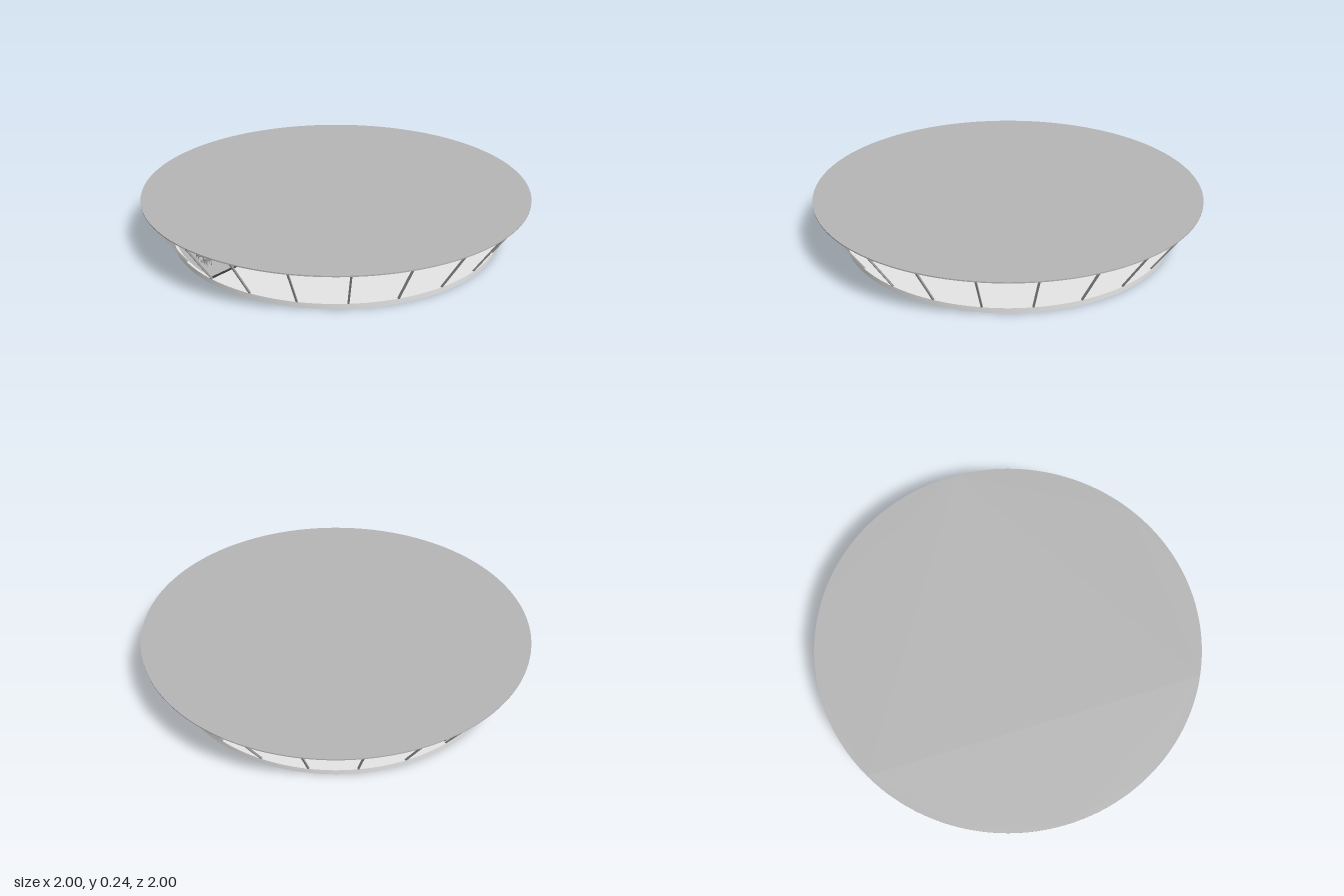
import * as THREE from 'three';
import { toCreasedNormals } from 'three/addons/utils/BufferGeometryUtils.js';

const rad = THREE.MathUtils.degToRad;
const mat = (name, color) => {
  const m = new THREE.MeshStandardMaterial({ color });
  m.name = name;
  return m;
};

export function createModel() {
  const model = new THREE.Group();
  const roofGrey = mat('roof grey', 0xb5b5b5);
  const floorGrey = mat('floor light grey', 0xe4e4e4);
  const frameGrey = mat('frame grey', 0xa8a8a8);
  const canopyGrey = mat('canopy grey', 0x7c7c7c);
  const dark = mat('bar charcoal', 0x383838);
  const wallGrey = mat('core wall grey', 0xb8b8b8);
  const furnitureGrey = mat('furniture grey', 0x959595);

  const add = (parent, name, geometry, material, x = 0, y = 0, z = 0) => {
    const mesh = new THREE.Mesh(geometry, material);
    mesh.name = name;
    mesh.position.set(x, y, z);
    parent.add(mesh);
    return mesh;
  };

  // Plan outline (x, z) extruded between two heights
  const slab = (shape, y0, y1) => {
    const g = new THREE.ExtrudeGeometry(shape, { depth: y1 - y0, bevelEnabled: false, curveSegments: 96 });
    g.rotateX(Math.PI / 2).translate(0, y1, 0);
    return toCreasedNormals(g, rad(30));
  };

  // Ring or ring sector; angles in degrees from +x towards +z
  const ringShape = (r0, r1, a0 = 0, a1 = 360) => {
    const s = new THREE.Shape();
    s.absarc(0, 0, r1, rad(a0), rad(a1), false);
    if (a1 - a0 < 360) {
      s.absarc(0, 0, r0, rad(a1), rad(a0), true);
      s.closePath();
    } else if (r0 > 0) {
      s.holes.push(new THREE.Path().absarc(0, 0, r0, 0, Math.PI * 2, true));
    }
    return s;
  };

  const DECK0 = 137.3, DECK1 = 242.3, STEP = 15;

  // Roof
  add(model, 'roof', slab(ringShape(0, 1), 0.237, 0.243), roofGrey);

  // Floors with thin lips hanging below their edges
  add(model, 'outerFloor', slab(ringShape(0.655, 0.848, DECK1, DECK0 + 360), 0.008, 0.026), floorGrey);
  add(model, 'mainFloor', slab(ringShape(0.42, 0.645), 0.008, 0.026), floorGrey);
  add(model, 'diningDeck', slab(ringShape(0.66, 0.848, DECK0, DECK1), 0.012, 0.026), roofGrey);
  add(model, 'outerRim', slab(ringShape(0.848, 0.86), 0, 0.026), floorGrey);
  add(model, 'innerRim', slab(ringShape(0.645, 0.655, DECK1, DECK0 + 360), 0, 0.026), floorGrey);

  // Dark kerb round the dining deck
  const kerb = new THREE.Group();
  kerb.name = 'diningKerb';
  model.add(kerb);
  add(kerb, 'innerKerb', slab(ringShape(0.645, 0.66, DECK0, DECK1), 0, 0.03), dark);
  for (const a of [DECK0, DECK1 - 0.8]) {
    add(kerb, 'endKerb', slab(ringShape(0.66, 0.848, a, a + 0.8), 0.002, 0.03), dark);
  }

  // Sloping window posts all round
  const posts = new THREE.Group();
  posts.name = 'windowPosts';
  model.add(posts);
  const up = new THREE.Vector3(0, 1, 0);
  for (let a = DECK1; a < DECK1 + 359; a += STEP) {
    const c = Math.cos(rad(a)), s = Math.sin(rad(a));
    const foot = new THREE.Vector3(0.855 * c, 0.024, 0.855 * s);
    const head = new THREE.Vector3(0.992 * c, 0.239, 0.992 * s);
    const dir = head.clone().sub(foot);
    const post = add(posts, 'windowPost', new THREE.BoxGeometry(0.008, dir.length(), 0.008), frameGrey);
    post.position.copy(foot).add(head).multiplyScalar(0.5);
    const spin = new THREE.Quaternion().setFromAxisAngle(up, -rad(a));
    const tilt = new THREE.Quaternion().setFromUnitVectors(up, dir.normalize());
    post.quaternion.copy(tilt).multiply(spin);
  }

  // Teardrop core: a hollow shaft through the centre floor
  const CORE0 = -44, CORE1 = 12, R = 0.338;
  const core = new THREE.Shape();
  core.absarc(0, 0, R, rad(CORE0), rad(CORE1), false);
  core.lineTo(0.15, 0.035);
  core.quadraticCurveTo(0, 0, 0.12, -0.09);
  core.closePath();
  const inner = core.getPoints(32).map((p) => new THREE.Vector2(0.2 + (p.x - 0.2) * 0.96, -0.06 + (p.y + 0.06) * 0.96));
  core.holes.push(new THREE.Path(inner.reverse()));
  add(model, 'coreWall', slab(core, 0.006, 0.237), wallGrey);

  const centre = new THREE.Shape();
  centre.absarc(0, 0, R, rad(CORE1), rad(CORE0 + 360), false);
  centre.lineTo(0.12, -0.09);
  centre.quadraticCurveTo(0, 0, 0.15, 0.035);
  centre.closePath();
  add(model, 'centreFloor', slab(centre, 0.006, 0.028), floorGrey);

  // Bar: platform, counter with slats, canopy
  add(model, 'barPlatform', slab(ringShape(R, 0.42), 0.006, 0.034), roofGrey);
  add(model, 'barFront', slab(ringShape(0.338, 0.352, 21, 316), 0.004, 0.085), dark);
  add(model, 'barTop', slab(ringShape(0.325, 0.362, 21, 316), 0.083, 0.09), dark);
  add(model, 'barCanopy', slab(ringShape(0, 0.358, 21, 316), 0.225, 0.237), canopyGrey);
  const slat = new THREE.BoxGeometry(0.006, 0.08, 0.006);
  const slats = new THREE.Group();
  slats.name = 'barSlats';
  model.add(slats);
  for (let a = 23; a < 315; a += 8) {
    add(slats, 'barSlat', slat, canopyGrey, 0.352 * Math.cos(rad(a)), 0.043, 0.352 * Math.sin(rad(a))).rotation.y = -rad(a);
  }

  // Bar stools
  const seatDisc = new THREE.CylinderGeometry(0.014, 0.014, 0.005, 16);
  const stem = new THREE.CylinderGeometry(0.003, 0.003, 0.05, 8);
  const stoolBack = new THREE.BoxGeometry(0.004, 0.022, 0.022);
  for (let a = 95; a <= 230; a += 11) {
    const stool = new THREE.Group();
    stool.name = 'barStool';
    stool.position.set(0.4 * Math.cos(rad(a)), 0.034, 0.4 * Math.sin(rad(a)));
    stool.rotation.y = -rad(a);
    add(stool, 'stoolStem', stem, dark, 0, 0.02, 0);
    add(stool, 'stoolSeat', seatDisc, dark, 0, 0.04, 0);
    add(stool, 'stoolBack', stoolBack, dark, 0.014, 0.046, 0);
    model.add(stool);
  }

  // Dining tables, each with a pair of chairs
  const tableTop = new THREE.CylinderGeometry(0.035, 0.035, 0.005, 24);
  const tableLeg = new THREE.CylinderGeometry(0.004, 0.004, 0.04, 8);
  const tableFoot = new THREE.CylinderGeometry(0.015, 0.015, 0.003, 16);
  const chairSeat = new THREE.BoxGeometry(0.026, 0.004, 0.026);
  const chairBack = new THREE.BoxGeometry(0.026, 0.024, 0.003);
  const chairLeg = new THREE.BoxGeometry(0.003, 0.026, 0.003);
  for (let i = -2; i <= 2; i++) {
    const a = rad(191.5 + i * 21.2);
    const set = new THREE.Group();
    set.name = 'tableSet';
    set.position.set(0.79 * Math.cos(a), 0.026, 0.79 * Math.sin(a));
    set.rotation.y = -a;
    add(set, 'tableTop', tableTop, furnitureGrey, 0, 0.043, 0);
    add(set, 'tableLeg', tableLeg, furnitureGrey, 0, 0.021, 0);
    add(set, 'tableFoot', tableFoot, furnitureGrey, 0, 0.002, 0);
    for (const side of [-1, 1]) {
      const chair = new THREE.Group();
      chair.name = 'chair';
      chair.position.z = side * 0.045;
      add(chair, 'chairSeat', chairSeat, furnitureGrey, 0, 0.027, 0);
      add(chair, 'chairBack', chairBack, furnitureGrey, 0, 0.039, side * 0.012);
      for (const x of [-0.011, 0.011]) for (const z of [-0.011, 0.011]) add(chair, 'chairLeg', chairLeg, furnitureGrey, x, 0.013, z);
      set.add(chair);
    }
    model.add(set);
  }

  return model;
}
